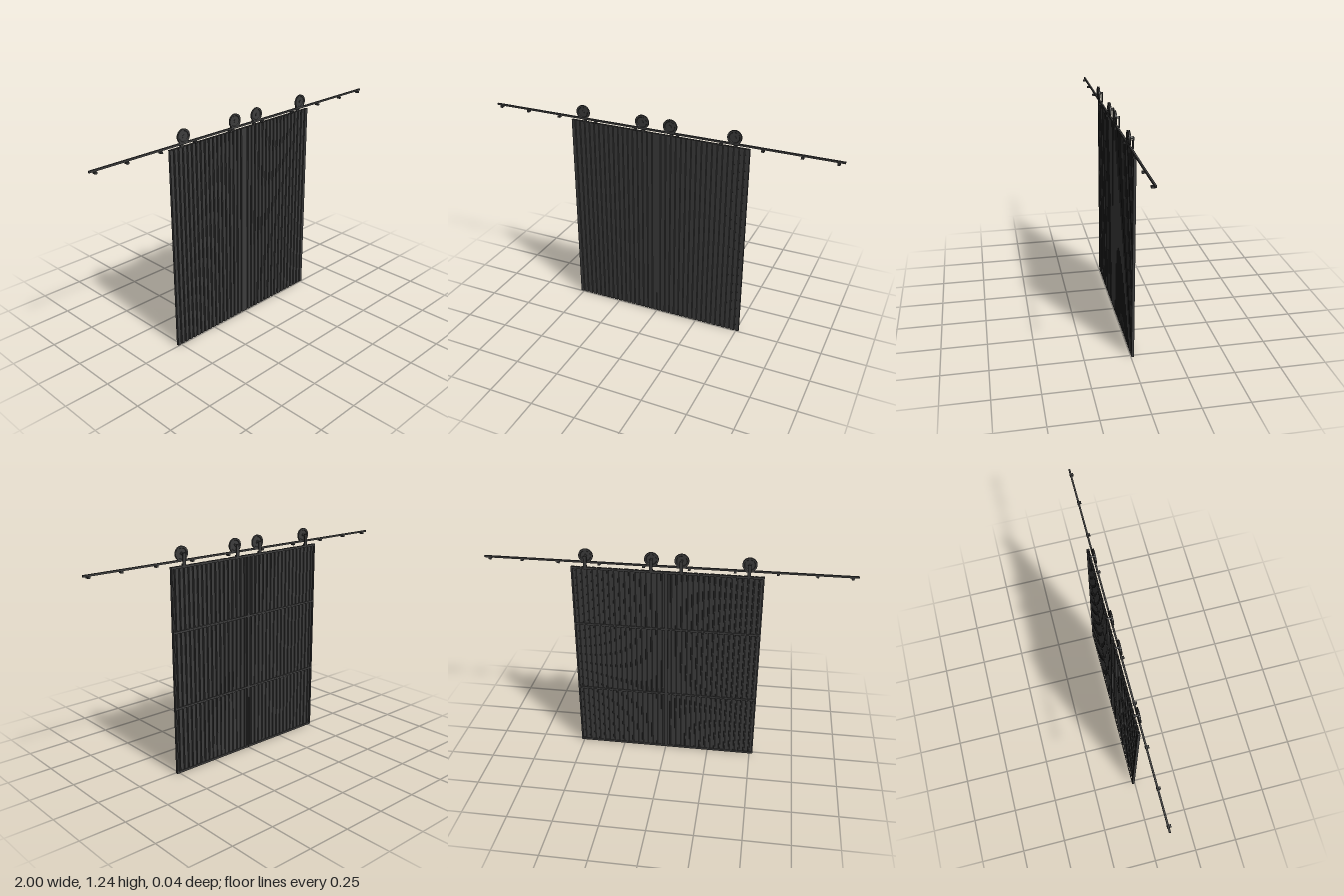
import * as THREE from 'three';

const steel = new THREE.MeshStandardMaterial({ color: 0x3c3c3c });

export function createModel() {
  const model = new THREE.Group();

  const box = (name, parent, x0, x1, y0, y1, z0, z1) => {
    const m = new THREE.Mesh(new THREE.BoxGeometry(x1 - x0, y1 - y0, z1 - z0), steel);
    m.position.set((x0 + x1) / 2, (y0 + y1) / 2, (z0 + z1) / 2);
    m.name = name;
    parent.add(m);
    return m;
  };

  // Corrugated sheet: a folded strip with front and back outlines, extruded upward
  const width = 0.517, height = 1.14, ribs = 18, ridge = 0.02, slope = 0.002;
  const pitch = (width - ridge) / (ribs - 1);
  const front = -0.003, valley = -0.009, thick = 0.005;
  const line = [];
  for (let i = 0; i < ribs; i++) {
    const x = -width / 2 + i * pitch;
    line.push([x, front], [x + ridge, front]);
    if (i < ribs - 1) line.push([x + ridge + slope, valley], [x + pitch - slope, valley]);
  }
  const shape = new THREE.Shape([
    ...line.map(([x, z]) => new THREE.Vector2(x, -z)),
    ...line.slice().reverse().map(([x, z]) => new THREE.Vector2(x, -z + thick)),
  ]);
  const sheetGeo = new THREE.ExtrudeGeometry(shape, { depth: height, bevelEnabled: false });
  sheetGeo.rotateX(-Math.PI / 2);

  // Grooved wheel profile, turned around its axle
  const wheelProfile = [
    [0, -0.005], [0.009, -0.005], [0.009, -0.002], [0.027, -0.002], [0.029, -0.005],
    [0.039, -0.005], [0.039, -0.003], [0.036, -0.002], [0.036, 0.002], [0.039, 0.003],
    [0.039, 0.005], [0.029, 0.005], [0.027, 0.003], [0.009, 0.003], [0.009, 0.005], [0, 0.005],
  ];
  // Repeated corners keep the turned edges sharp
  const sharp = wheelProfile.flatMap(([r, y], i) => {
    const p = new THREE.Vector2(r, y);
    return i === 0 || i === wheelProfile.length - 1 ? [p] : [p, p.clone()];
  });
  const wheelGeo = new THREE.LatheGeometry(sharp, 40);
  wheelGeo.rotateX(Math.PI / 2);

  for (const side of [-1, 1]) {
    const door = new THREE.Group();
    door.name = side < 0 ? 'rightDoor' : 'leftDoor';
    door.position.x = side * 0.259 - 0.002;
    model.add(door);

    const sheet = new THREE.Mesh(sheetGeo, steel);
    sheet.name = 'corrugatedPanel';
    door.add(sheet);

    // Slim frame and cross rails on the back
    const h = width / 2;
    for (const y of [0, 0.37, 0.79, height - 0.012])
      box('backRail', door, -h, h, y, y + 0.012, -0.017, -0.013);
    for (const s of [-1, 1]) {
      const x = s * (h - 0.004);
      box('backStile', door, x - 0.004, x + 0.004, 0, height, -0.017, -0.0075);
    }

    // Two hanging wheels with bent straps
    for (const x of [-0.178, 0.178]) {
      const hanger = new THREE.Group();
      hanger.name = 'hanger';
      hanger.position.x = x;
      door.add(hanger);
      const wheel = new THREE.Mesh(wheelGeo, steel);
      wheel.name = 'wheel';
      wheel.position.set(0, 1.198, 0.006);
      hanger.add(wheel);
      box('strap', hanger, -0.009, 0.009, 1.144, 1.204, -0.02, -0.014);
      box('strapFoot', hanger, -0.009, 0.009, 1.134, 1.149, -0.017, -0.007);
      const axle = new THREE.Mesh(new THREE.CylinderGeometry(0.006, 0.006, 0.018, 16), steel);
      axle.name = 'axle';
      axle.rotation.x = Math.PI / 2;
      axle.position.set(0, 1.198, -0.007);
      hanger.add(axle);
    }
  }

  // Track with stand-off brackets
  const track = new THREE.Group();
  track.name = 'track';
  model.add(track);
  box('rail', track, -1, 1, 1.157, 1.167, 0.001, 0.01);
  for (const x of [0.122, 0.364, 0.588, 0.79, 0.969])
    for (const s of [-1, 1])
      box('bracket', track, s * x - 0.007, s * x + 0.007, 1.147, 1.157, 0, 0.02);

  return model;
}
